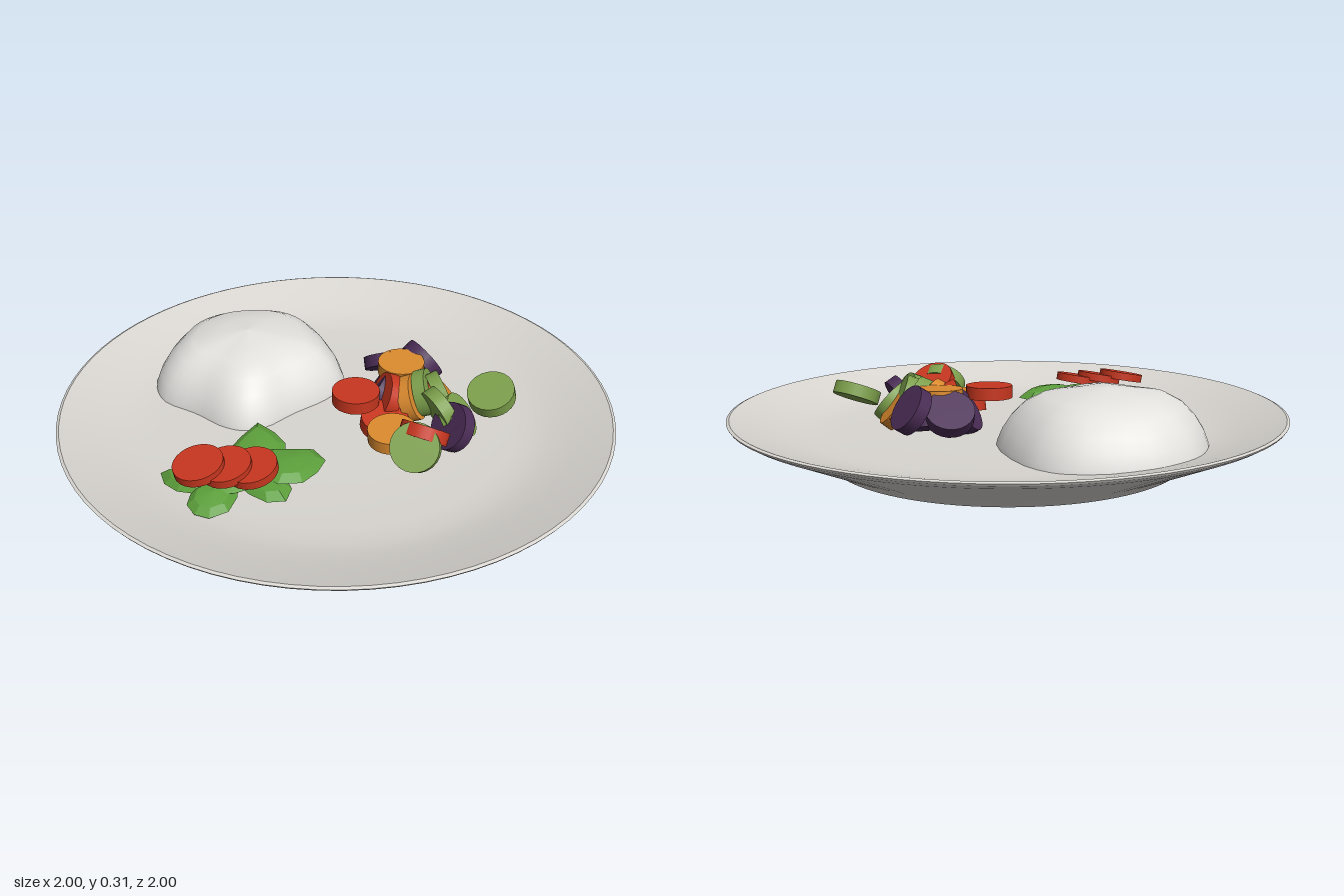
import * as THREE from 'three';
import { toCreasedNormals } from 'three/addons/utils/BufferGeometryUtils.js';

const mat = (name, color) => {
  const m = new THREE.MeshStandardMaterial({ color });
  m.name = name;
  return m;
};

export function createModel() {
  const model = new THREE.Group();
  model.name = 'plateOfFood';
  const china = mat('china', 0xd9d6d1);
  const rice = mat('rice', 0xe3e2df);
  const red = mat('tomato', 0xc6361f);
  const orange = mat('carrot', 0xdb8a2e);
  const green = mat('courgette', 0x7c9f4b);
  const purple = mat('aubergine', 0x4a2c55);
  const lettuce = mat('lettuce', 0x5c9f3b);

  const add = (name, geometry, material, parent = model) => {
    const mesh = new THREE.Mesh(geometry, material);
    mesh.name = name;
    parent.add(mesh);
    return mesh;
  };
  const group = (name) => {
    const g = new THREE.Group();
    g.name = name;
    model.add(g);
    return g;
  };

  // Plate: underside, sloping wall, rim, then the shallow well
  const profile = [
    [0, 0], [0.65, 0], [0.69, 0.03], [0.97, 0.155], [0.995, 0.17], [1, 0.178], [0.99, 0.182],
    [0.96, 0.172], [0.86, 0.14], [0.78, 0.117], [0.72, 0.105], [0.64, 0.099], [0.4, 0.098], [0, 0.098],
  ].map(([x, y]) => new THREE.Vector2(x, y));
  add('plate', toCreasedNormals(new THREE.LatheGeometry(profile, 80), 0.45), china);

  // Rice mound: one irregular outline shrinking towards the peak
  const outline = new THREE.CatmullRomCurve3([
    [-0.45, -0.63], [-0.2, -0.64], [-0.06, -0.54], [0.04, -0.23], [-0.03, -0.12], [-0.16, -0.02],
    [-0.25, 0.06], [-0.33, 0.085], [-0.41, 0.06], [-0.52, -0.03], [-0.65, -0.12], [-0.69, -0.23],
    [-0.66, -0.4], [-0.59, -0.54],
  ].map(([x, z]) => new THREE.Vector3(x + 0.33, 0, z + 0.29)), true);
  const rings = [[1, 0.09], [0.99, 0.115], [0.94, 0.16], [0.86, 0.205], [0.74, 0.25], [0.58, 0.282], [0.3, 0.299], [0.001, 0.31]];
  const N = 48, positions = [], index = [];
  const edge = outline.getPoints(N).slice(0, N);
  rings.forEach(([s, y]) => edge.forEach((p) => positions.push(p.x * s, y, p.z * s)));
  for (let r = 0; r < rings.length - 1; r++) {
    for (let i = 0; i < N; i++) {
      const a = r * N + i, b = r * N + (i + 1) % N;
      index.push(a, a + N, b, b, a + N, b + N);
    }
  }
  const mound = new THREE.BufferGeometry();
  mound.setAttribute('position', new THREE.Float32BufferAttribute(positions, 3));
  mound.setIndex(index);
  mound.computeVertexNormals();
  add('riceMound', mound, rice).position.set(-0.33, 0, -0.29);

  // Round slices, placed by centre and by the direction their flat face points
  const up = new THREE.Vector3(0, 1, 0);
  const disc = new THREE.CylinderGeometry(0.086, 0.086, 0.046, 24);
  const thinDisc = new THREE.CylinderGeometry(0.086, 0.086, 0.03, 24);
  const slice = (parent, name, material, geometry, [x, y, z], normal) => {
    const mesh = add(name, geometry, material, parent);
    mesh.position.set(x, y, z);
    mesh.quaternion.setFromUnitVectors(up, new THREE.Vector3(...normal).normalize());
  };

  // Mixed vegetables
  const vegetables = group('vegetables');
  [
    ['tomatoSlice', red, [0.07, 0.225, 0.055], [0, 1, 0.03]],
    ['tomatoSlice', red, [0.17, 0.155, 0.12], [0.1, 1, 0.2]],
    ['tomatoSlice', red, [0.185, 0.19, 0.01], [-0.9, 0.4, 0.15]],
    ['tomatoSlice', red, [0.35, 0.19, -0.06], [0.6, 0.7, -0.2]],
    ['tomatoSlice', red, [0.295, 0.215, 0.28], [0.3, 0.75, -0.5]],
    ['carrotSlice', orange, [0.245, 0.245, -0.11], [0, 1, 0.05]],
    ['carrotSlice', orange, [0.19, 0.175, 0.225], [-0.05, 1, 0.08]],
    ['carrotSlice', orange, [0.4, 0.175, 0.0], [0.75, 0.6, -0.15]],
    ['carrotSlice', orange, [0.275, 0.19, 0.02], [0.9, 0.4, 0.25]],
    ['courgetteSlice', green, [0.26, 0.2, 0.345], [-0.25, 0.6, 0.75]],
    ['courgetteSlice', green, [0.56, 0.22, 0.05], [-0.25, 0.88, 0.32]],
    ['courgetteSlice', green, [0.38, 0.205, 0.02], [0.9, 0.4, -0.15]],
    ['courgetteSlice', green, [0.325, 0.2, 0.0], [0.92, 0.35, 0.2]],
    ['courgetteSlice', green, [0.37, 0.195, 0.11], [0.85, 0.4, -0.4]],
    ['courgetteSlice', green, [0.43, 0.17, 0.12], [0.7, 0.6, 0.2]],
    ['aubergineSlice', purple, [0.2, 0.2, -0.225], [-0.1, 0.75, -0.6]],
    ['aubergineSlice', purple, [0.335, 0.21, -0.21], [0.75, 0.55, -0.4]],
    ['aubergineSlice', purple, [0.27, 0.16, -0.17], [0.1, 0.9, 0.3]],
    ['aubergineSlice', purple, [0.16, 0.17, -0.05], [-0.8, 0.5, -0.2]],
    ['aubergineSlice', purple, [0.405, 0.175, 0.19], [-0.75, 0.5, 0.35]],
  ].forEach(([name, material, at, normal]) => slice(vegetables, name, material, disc, at, normal));

  // Salad: flat, uneven leaves with three overlapping tomato slices
  const salad = group('salad');
  const leaf = (x, y, z, rx, rz, turn, tiltX, tiltZ) => {
    const g = new THREE.SphereGeometry(1, 9, 4);
    const p = g.attributes.position;
    for (let i = 0; i < p.count; i++) {
      const a = Math.atan2(p.getZ(i), p.getX(i));
      const k = 1 + 0.1 * Math.sin(3 * a + turn * 2) + 0.06 * Math.cos(4 * a + turn);
      const d = Math.hypot(p.getX(i), p.getZ(i));
      p.setXYZ(i, p.getX(i) * k * rx, p.getY(i) * 0.022 - d * d * 0.012, p.getZ(i) * k * rz);
    }
    const mesh = add('lettuceLeaf', toCreasedNormals(g, 0.3), lettuce, salad);
    mesh.position.set(x, y, z);
    mesh.rotation.set(tiltX, turn, tiltZ);
  };
  leaf(-0.28, 0.16, 0.29, 0.13, 0.1, 1.3, 0.12, 0.05);
  leaf(-0.16, 0.165, 0.37, 0.12, 0.1, 0.6, 0.05, -0.1);
  leaf(-0.49, 0.145, 0.41, 0.11, 0.08, -0.4, 0.05, 0.12);
  leaf(-0.41, 0.14, 0.51, 0.1, 0.075, 0.9, 0.15, 0);
  leaf(-0.34, 0.16, 0.41, 0.15, 0.11, 0.2, -0.05, 0.05);
  leaf(-0.25, 0.14, 0.43, 0.12, 0.08, 2.2, 0.1, -0.08);
  [[-0.46, 0.213], [-0.37, 0.206], [-0.285, 0.2]].forEach(([x, y]) =>
    slice(salad, 'saladTomatoSlice', red, thinDisc, [x, y, 0.445], [-0.16, 1, 0.12]));

  return model;
}
